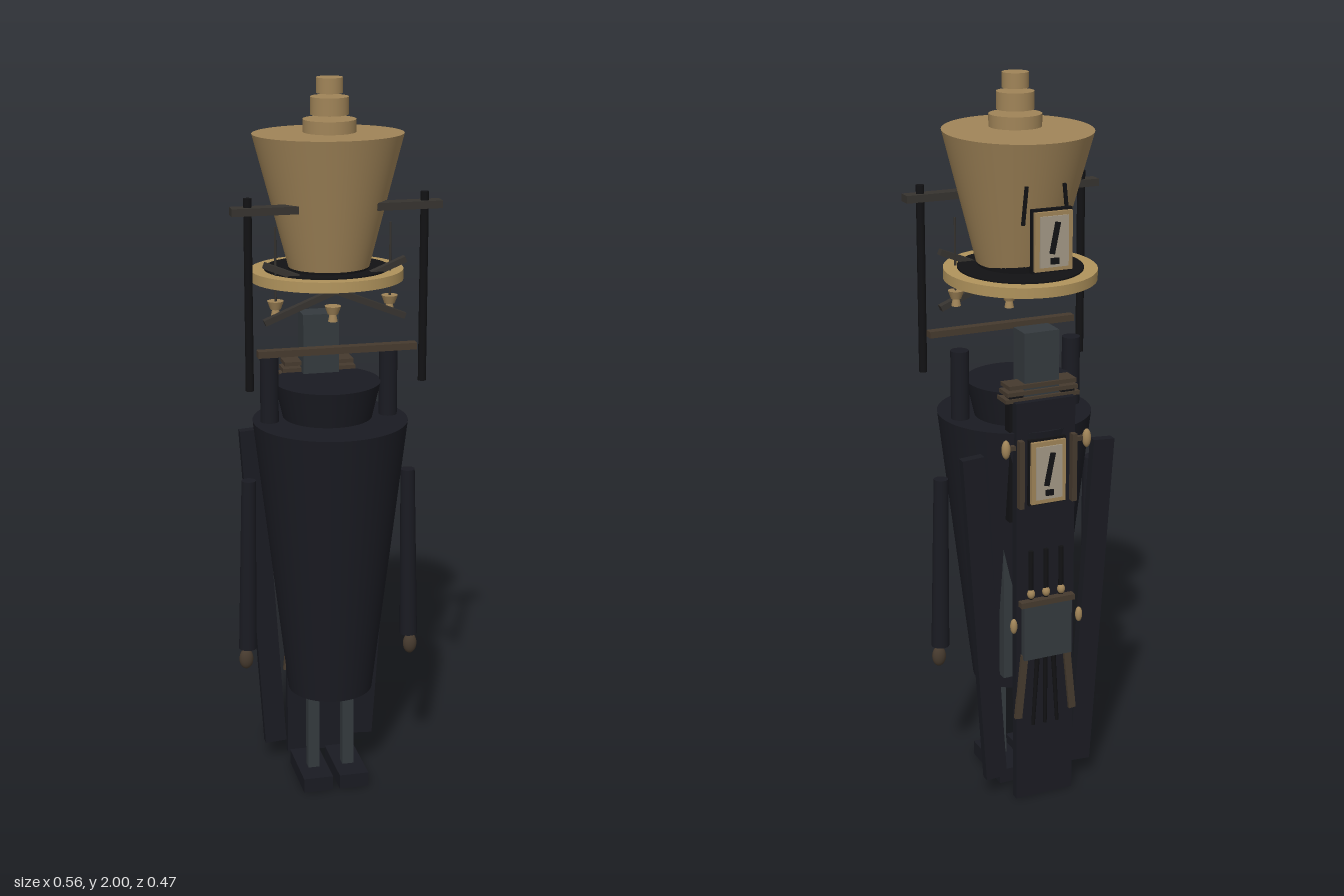
import * as THREE from 'three';

const mat = (color) => new THREE.MeshStandardMaterial({ color });
const TAN = mat(0xa08458), BRASS = mat(0xb0935c), DARK = mat(0x1a1b22), BLACK = mat(0x121214);
const SLATE = mat(0x343a3e), BROWN = mat(0x463a2e), IRON = mat(0x36332f), PALE = mat(0xa39885);

export function createModel() {
  const root = new THREE.Group();
  const sides = [-1, 1];

  function add(parent, name, geometry, material, x, y, z) {
    const mesh = new THREE.Mesh(geometry, material);
    mesh.name = name;
    mesh.position.set(x, y, z);
    parent.add(mesh);
    return mesh;
  }
  const box = (p, name, m, w, h, d, x, y, z) => add(p, name, new THREE.BoxGeometry(w, h, d), m, x, y, z);
  const cyl = (p, name, m, rTop, rBottom, h, x, y, z, n = 48) =>
    add(p, name, new THREE.CylinderGeometry(rTop, rBottom, h, n), m, x, y, z);
  const ball = (p, name, m, rx, ry, rz, x, y, z) => {
    const b = add(p, name, new THREE.SphereGeometry(1, 16, 12), m, x, y, z);
    b.scale.set(rx, ry, rz);
    return b;
  };
  function part(name) {
    const g = new THREE.Group();
    g.name = name;
    root.add(g);
    return g;
  }
  // Framed panel with a slanted black pointer, facing the back
  function gauge(p, w, h, y, z) {
    box(p, 'gaugeBacking', BLACK, w + 0.008, h, 0.014, 0, y, z + 0.014);
    box(p, 'gaugePlate', TAN, w, h - 0.012, 0.012, 0, y, z + 0.003);
    box(p, 'gaugeFace', PALE, w * 0.76, h * 0.8, 0.006, 0, y, z - 0.004);
    const hand = box(p, 'gaugePointer', BLACK, 0.014, h * 0.5, 0.006, 0, y + 0.01, z - 0.009);
    hand.rotation.z = 0.2;
    box(p, 'gaugePivot', BLACK, 0.022, 0.016, 0.006, 0, y - h * 0.3, z - 0.009);
  }

  // Bucket head with stepped cap
  const head = part('head');
  cyl(head, 'headBucket', TAN, 0.2, 0.108, 0.35, 0, 1.68, 0, 64).rotation.x = -0.03;
  cyl(head, 'headBase', BLACK, 0.106, 0.106, 0.02, 0, 1.505, 0);
  [[0.07, 0.033, 1.877], [0.05, 0.046, 1.928], [0.035, 0.04, 1.98]].forEach(([r, h, y], i) =>
    cyl(head, 'capStep' + (i + 1), TAN, r, r, h, 0, y, 0.012));
  cyl(head, 'brim', BRASS, 0.205, 0.205, 0.028, 0, 1.479, -0.02, 64).rotation.x = -0.03;
  cyl(head, 'brimInset', BLACK, 0.168, 0.168, 0.028, 0, 1.483, -0.02, 64).rotation.x = -0.03;
  gauge(head, 0.105, 0.165, 1.605, -0.222);
  for (const s of sides) {
    const slit = box(head, 'rearSlit', BLACK, 0.008, 0.1, 0.008, s * 0.058, 1.69, -0.174);
    slit.rotation.z = s * 0.1;
  }

  // Hanging frame: side rods, top brackets, crossbar
  const frame = part('headFrame');
  for (const s of sides) {
    cyl(frame, 'sideRod', BLACK, 0.011, 0.011, 0.51, s * 0.235, 1.455, 0.097, 16);
    box(frame, 'topBracket', IRON, 0.175, 0.02, 0.038, s * 0.192, 1.677, 0.097);
    const brace = box(frame, 'crossedBrace', IRON, 0.41, 0.016, 0.02, 0, 1.453, 0.078);
    brace.rotation.z = s * 0.385;
  }
  box(frame, 'lowerCrossbar', BROWN, 0.43, 0.018, 0.026, 0, 1.3, 0.104);

  // Small bells under the brim
  const bells = part('bells');
  for (const [x, y] of [[-0.155, 1.407], [0, 1.385], [0.155, 1.407]]) {
    cyl(bells, 'bellCup', TAN, 0.022, 0.014, 0.022, x, y + 0.01, 0.052, 20);
    cyl(bells, 'bellFoot', TAN, 0.009, 0.013, 0.02, x, y - 0.011, 0.052, 16);
    if (x) cyl(bells, 'bellWire', IRON, 0.003, 0.003, 0.2, x, 1.525, 0.055, 8);
  }

  // Tapered body with collar and shoulder pegs
  const body = part('body');
  cyl(body, 'torso', DARK, 0.211, 0.118, 0.79, 0, 0.69, 0.021, 64);
  cyl(body, 'collar', DARK, 0.145, 0.122, 0.1, 0, 1.134, -0.012);
  for (const s of sides) cyl(body, 'shoulderPeg', DARK, 0.025, 0.025, 0.26, s * 0.165, 1.145, 0.008, 20);
  box(body, 'neckPost', SLATE, 0.1, 0.19, 0.07, 0, 1.255, -0.122);
  box(body, 'backCore', SLATE, 0.19, 0.5, 0.03, 0, 0.6, -0.105);

  // Arms and hands
  for (const s of sides) {
    const arm = part(s > 0 ? 'leftArm' : 'rightArm');
    cyl(arm, 'sleeve', DARK, 0.02, 0.025, 0.495, s * 0.229, 0.672, 0.006, 16).rotation.z = s * 0.018;
    ball(arm, 'hand', BROWN, 0.02, 0.03, 0.016, s * 0.238, 0.392, 0.006);
  }

  // Legs and block feet
  for (const s of sides) {
    const leg = part(s > 0 ? 'leftLeg' : 'rightLeg');
    box(leg, 'shin', SLATE, 0.032, 0.26, 0.032, s * 0.05, 0.17, 0.018);
    box(leg, 'foot', DARK, 0.084, 0.042, 0.19, s * 0.052, 0.023, 0.006);
  }

  // Rear planks: two splayed, one central
  const back = part('backPack');
  for (const s of sides) {
    const plank = box(back, 'splayedPlank', DARK, 0.062, 0.965, 0.026, s * 0.161, 0.54, -0.134);
    plank.rotation.z = -s * 0.066;
    box(back, 'upperPost', BLACK, 0.04, 0.36, 0.03, s * 0.075, 1.01, -0.145);
    box(back, 'gaugeRail', BROWN, 0.014, 0.19, 0.02, s * 0.077, 0.975, -0.192);
    ball(back, 'upperKnob', TAN, 0.012, 0.026, 0.012, s * 0.118, 1.05, -0.188);
    box(back, 'knobBracket', BROWN, 0.03, 0.012, 0.014, s * 0.105, 1.05, -0.182);
    ball(back, 'lowerKnob', TAN, 0.01, 0.022, 0.01, s * 0.098, 0.54, -0.193);
  }
  box(back, 'centralPlank', DARK, 0.172, 1.17, 0.024, 0, 0.585, -0.171);
  [1.172, 1.19, 1.208].forEach((y, i) =>
    box(back, 'shoulderBar', BROWN, 0.215 - i * 0.01, 0.011, 0.056, 0, y, -0.137));
  gauge(back, 0.1, 0.185, 0.975, -0.2);

  // Lower rear box with pins above and a fan of tails below
  box(back, 'lowerBox', SLATE, 0.142, 0.16, 0.024, 0, 0.515, -0.193);
  box(back, 'boxLid', BROWN, 0.16, 0.016, 0.04, 0, 0.6, -0.185);
  for (const i of [-1, 0, 1]) {
    cyl(back, 'pin', BLACK, 0.007, 0.007, 0.14, i * 0.045, 0.68, -0.188, 10);
    ball(back, 'pinKnob', TAN, 0.011, 0.014, 0.011, i * 0.045, 0.625, -0.19);
    const rod = cyl(back, 'tailRod', BLACK, 0.007, 0.005, 0.22, i * 0.03, 0.335, -0.187, 10);
    rod.rotation.z = i * 0.06;
  }
  for (const s of sides) {
    const tail = box(back, 'tailSlat', BROWN, 0.02, 0.19, 0.012, s * 0.073, 0.35, -0.187);
    tail.rotation.z = s * 0.1;
  }

  return root;
}
